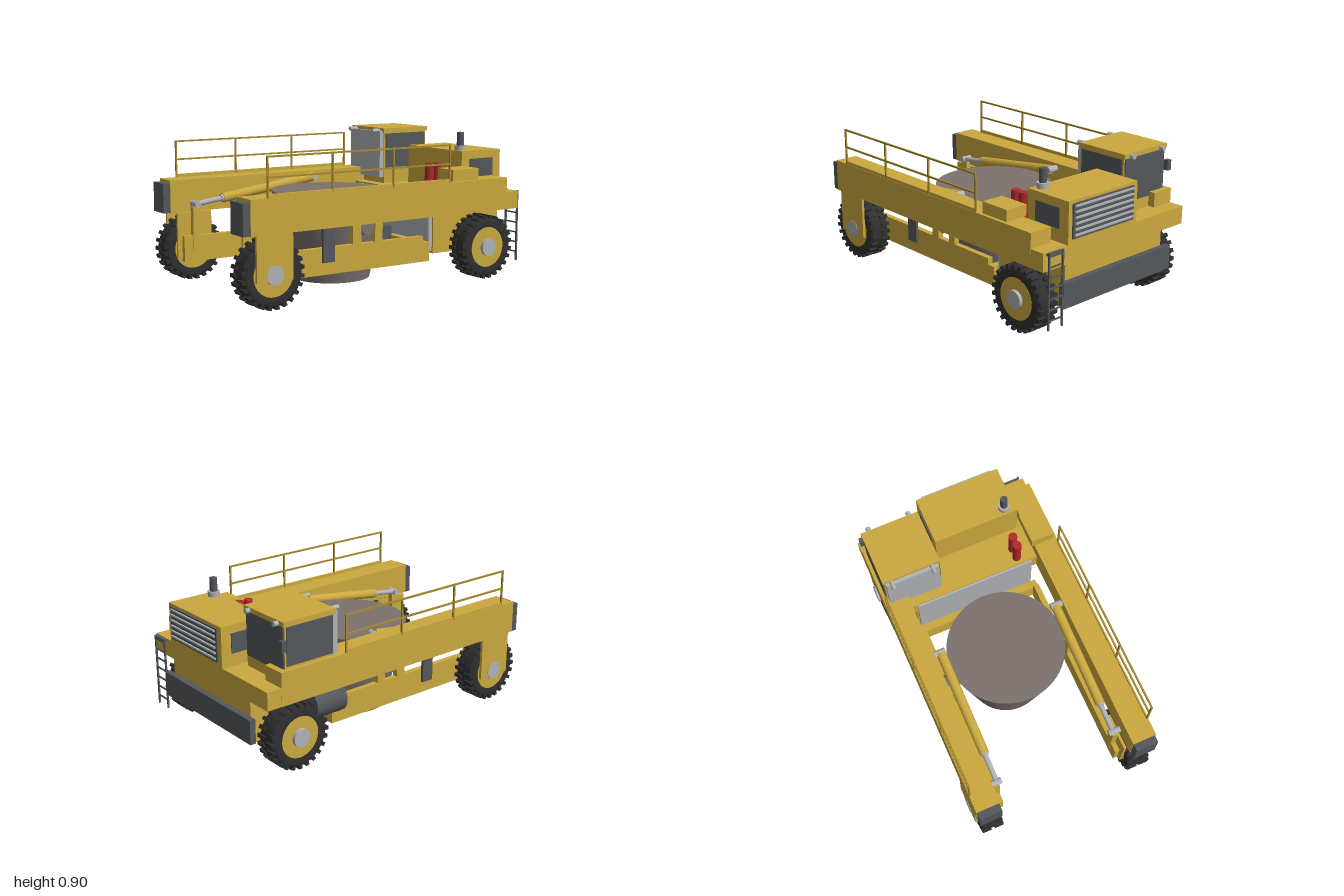
import * as THREE from 'three';

const mat = (name, color) => {
  const m = new THREE.MeshStandardMaterial({ color });
  m.name = name;
  return m;
};

export function createModel() {
  const yellow = mat('yellow paint', 0xcba93f);
  const dark = mat('dark grey', 0x54585c);
  const light = mat('light grey', 0xb0b2b5);
  const tyreMat = mat('tyre rubber', 0x303031);
  const potMat = mat('pot steel', 0x7c736e);
  const red = mat('red', 0xb3292c);
  const railMat = mat('rail yellow', 0xa88a30);

  const model = new THREE.Group();
  const add = (name, geo, material, parent = model) => {
    const m = new THREE.Mesh(geo, material);
    m.name = name;
    parent.add(m);
    return m;
  };
  // Box given by its limits on each axis
  const box = (name, material, x0, x1, y0, y1, z0, z1, parent) => {
    const m = add(name, new THREE.BoxGeometry(x1 - x0, y1 - y0, Math.abs(z1 - z0)), material, parent);
    m.position.set((x0 + x1) / 2, (y0 + y1) / 2, (z0 + z1) / 2);
    return m;
  };
  // Cylinder between two points
  const rod = (name, material, a, b, r, parent, sides = 24) => {
    const p = new THREE.Vector3(...a), q = new THREE.Vector3(...b);
    const m = add(name, new THREE.CylinderGeometry(r, r, p.distanceTo(q), sides), material, parent);
    m.position.copy(p).add(q).multiplyScalar(0.5);
    m.quaternion.setFromUnitVectors(new THREE.Vector3(0, 1, 0), q.sub(p).normalize());
    return m;
  };

  // Wheel: axle along z, s is the outer side
  const wheel = (name, x, s) => {
    const g = new THREE.Group();
    g.name = name;
    const profile = [[0.125, -0.065], [0.165, -0.07], [0.182, -0.06], [0.188, -0.04],
      [0.188, 0.04], [0.182, 0.06], [0.165, 0.07], [0.125, 0.065]].map(p => new THREE.Vector2(...p));
    add('tyre', new THREE.LatheGeometry(profile, 48), tyreMat, g).rotation.x = Math.PI / 2;
    rod('rim', yellow, [0, 0, -0.067], [0, 0, 0.067], 0.126, g, 40);
    rod('hub', light, [0, 0, -0.075 * s], [0, 0, 0.088 * s], 0.055, g, 28);
    for (let i = 0; i < 48; i++) {
      const a = i / 48 * Math.PI * 2;
      const lug = add('treadLug', new THREE.BoxGeometry(0.022, 0.024, 0.055), tyreMat, g);
      lug.position.set(Math.cos(a) * 0.187, Math.sin(a) * 0.187, i % 2 ? 0.04 : -0.04);
      lug.rotation.z = a + Math.PI / 2;
    }
    g.position.set(x, 0.2, s * 0.495);
    model.add(g);
  };

  for (const s of [1, -1]) {
    const side = s > 0 ? 'left' : 'right';
    // Long side beams with end caps
    box(side + 'Beam', yellow, -0.955, 0.87, 0.43, 0.63, s * 0.43, s * 0.58);
    box(side + 'BeamEndCap', dark, -1, -0.955, 0.43, 0.612, s * 0.435, s * 0.575);

    // Rear wheel forks
    box(side + 'OuterForkPlate', yellow, -0.92, -0.69, 0.165, 0.43, s * 0.563, s * 0.58);
    box(side + 'InnerForkPlate', yellow, -0.92, -0.69, 0.145, 0.43, s * 0.41, s * 0.427);
    wheel(side + 'RearWheel', -0.805, s);
    wheel(side + 'FrontWheel', 0.735, s);

    // Lifting frame arm, trunnion posts and hanger
    box(side + 'LiftArm', yellow, -0.89, 0.34, 0.125, 0.285, s * 0.38, s * 0.415);
    box(side + 'TrunnionPostRear', yellow, -0.18, -0.12, 0.285, 0.43, s * 0.38, s * 0.415);
    box(side + 'TrunnionPostFront', yellow, -0.02, 0.035, 0.285, 0.395, s * 0.38, s * 0.415);
    box(side + 'ArmHanger', dark, -0.4, -0.32, 0.2, 0.45, s * 0.417, s * 0.435);
    rod(side + 'Trunnion', potMat, [-0.075, 0.375, s * 0.28], [-0.075, 0.375, s * 0.42], 0.045);

    // Tilting cylinder with pins and post
    const z = s * 0.385;
    rod(side + 'CylinderBarrel', yellow, [0.04, 0.595, z], [-0.62, 0.505, z], 0.03);
    rod(side + 'CylinderRod', light, [-0.62, 0.505, z], [-0.81, 0.479, z], 0.016);
    rod(side + 'CylinderGland', light, [-0.61, 0.506, z], [-0.635, 0.503, z], 0.024);
    rod(side + 'RearPin', light, [-0.805, 0.48, s * 0.355], [-0.805, 0.48, s * 0.43], 0.02);
    rod(side + 'FrontPin', light, [0.045, 0.596, s * 0.355], [0.045, 0.596, s * 0.43], 0.022);
    box(side + 'CylinderPost', yellow, -0.83, -0.78, 0.2, 0.465, s * 0.375, s * 0.41);

    // Handrail
    const rail = new THREE.Group();
    rail.name = side + 'Handrail';
    model.add(rail);
    for (const x of [-0.845, -0.425, -0.005, 0.415])
      box('railPost', railMat, x - 0.005, x + 0.005, 0.63, 0.855, s * 0.569, s * 0.579, rail);
    for (const y of [0.742, 0.855])
      box('railBar', railMat, -0.85, 0.42, y - 0.005, y + 0.005, s * 0.569, s * 0.579, rail);
    box('toeBoard', yellow, -0.845, 0.415, 0.63, 0.65, s * 0.57, s * 0.578, rail);
  }

  // Lifting frame crossbar with central bracket
  box('liftCrossbar', yellow, 0.34, 0.39, 0.125, 0.245, -0.415, 0.415);
  box('crossbarBracket', dark, 0.23, 0.338, 0.2, 0.305, -0.09, 0.09);

  // Pot
  add('pot', new THREE.CylinderGeometry(0.366, 0.245, 0.545, 64), potMat).position.set(-0.07, 0.2875, 0);

  // Front chassis, deck and bulkhead
  box('frontChassis', yellow, 0.43, 0.955, 0.165, 0.43, -0.4, 0.4);
  box('deck', yellow, 0.415, 0.965, 0.43, 0.54, -0.579, 0.579);
  box('bulkheadPlate', light, 0.402, 0.43, 0.18, 0.53, -0.39, 0.39);
  box('bumper', dark, 0.955, 0.992, 0.185, 0.333, -0.445, 0.445);
  rod('fuelTank', dark, [0.405, 0.34, -0.49], [0.62, 0.34, -0.49], 0.087);

  // Engine hood with grille and side vents
  box('engineHood', yellow, 0.655, 0.97, 0.54, 0.79, -0.155, 0.397);
  box('grille', dark, 0.97, 0.979, 0.57, 0.773, -0.12, 0.368);
  for (let i = 0; i < 6; i++) {
    const y = 0.592 + i * 0.0335;
    box('grilleSlat', light, 0.975, 0.99, y - 0.005, y + 0.005, -0.11, 0.358);
  }
  box('leftVent', dark, 0.72, 0.905, 0.62, 0.74, 0.397, 0.404);
  box('rightVent', dark, 0.72, 0.905, 0.62, 0.74, -0.162, -0.155);
  rod('stackBase', light, [0.7, 0.79, 0.327], [0.7, 0.822, 0.327], 0.036);
  rod('exhaustStack', dark, [0.7, 0.82, 0.327], [0.7, 0.905, 0.327], 0.023);

  // Storage box and extinguishers
  box('storageBox', yellow, 0.455, 0.655, 0.63, 0.7, 0.41, 0.558);
  for (const x of [0.465, 0.528])
    rod('extinguisher', red, [x, 0.54, 0.312], [x, 0.72, 0.312], 0.028, model, 20);

  // Cab with windows and roof
  box('cab', yellow, 0.485, 0.825, 0.54, 0.88, -0.553, -0.197);
  box('cabRoof', yellow, 0.478, 0.837, 0.876, 0.905, -0.562, -0.19);
  box('cabFrontWindow', dark, 0.825, 0.832, 0.608, 0.875, -0.548, -0.205);
  box('cabRightWindow', dark, 0.497, 0.815, 0.645, 0.87, -0.56, -0.553);
  box('cabLeftWindow', dark, 0.497, 0.815, 0.645, 0.87, -0.197, -0.19);
  box('cabRearPanel', light, 0.455, 0.485, 0.58, 0.885, -0.545, -0.205);
  box('mirror', dark, 0.832, 0.862, 0.742, 0.805, -0.58, -0.548);

  // Work lights on the cab roof corners
  for (const z of [-0.245, -0.507]) {
    rod('rearWorkLight', light, [0.42, 0.887, z], [0.48, 0.887, z], 0.014, model, 16);
    rod('frontWorkLight', light, [0.83, 0.887, z], [0.865, 0.887, z], 0.015, model, 16);
  }

  // Access ladder
  const ladder = new THREE.Group();
  ladder.name = 'ladder';
  model.add(ladder);
  for (const z of [0.45, 0.553])
    box('ladderRail', dark, 0.98, 0.99, 0.09, 0.54, z - 0.005, z + 0.005, ladder);
  for (let i = 0; i < 7; i++)
    box('ladderRung', dark, 0.981, 0.989, 0.516 - i * 0.0625, 0.524 - i * 0.0625, 0.45, 0.553, ladder);
  box('ladderBracket', dark, 0.96, 0.985, 0.52, 0.535, 0.45, 0.553, ladder);

  return model;
}
